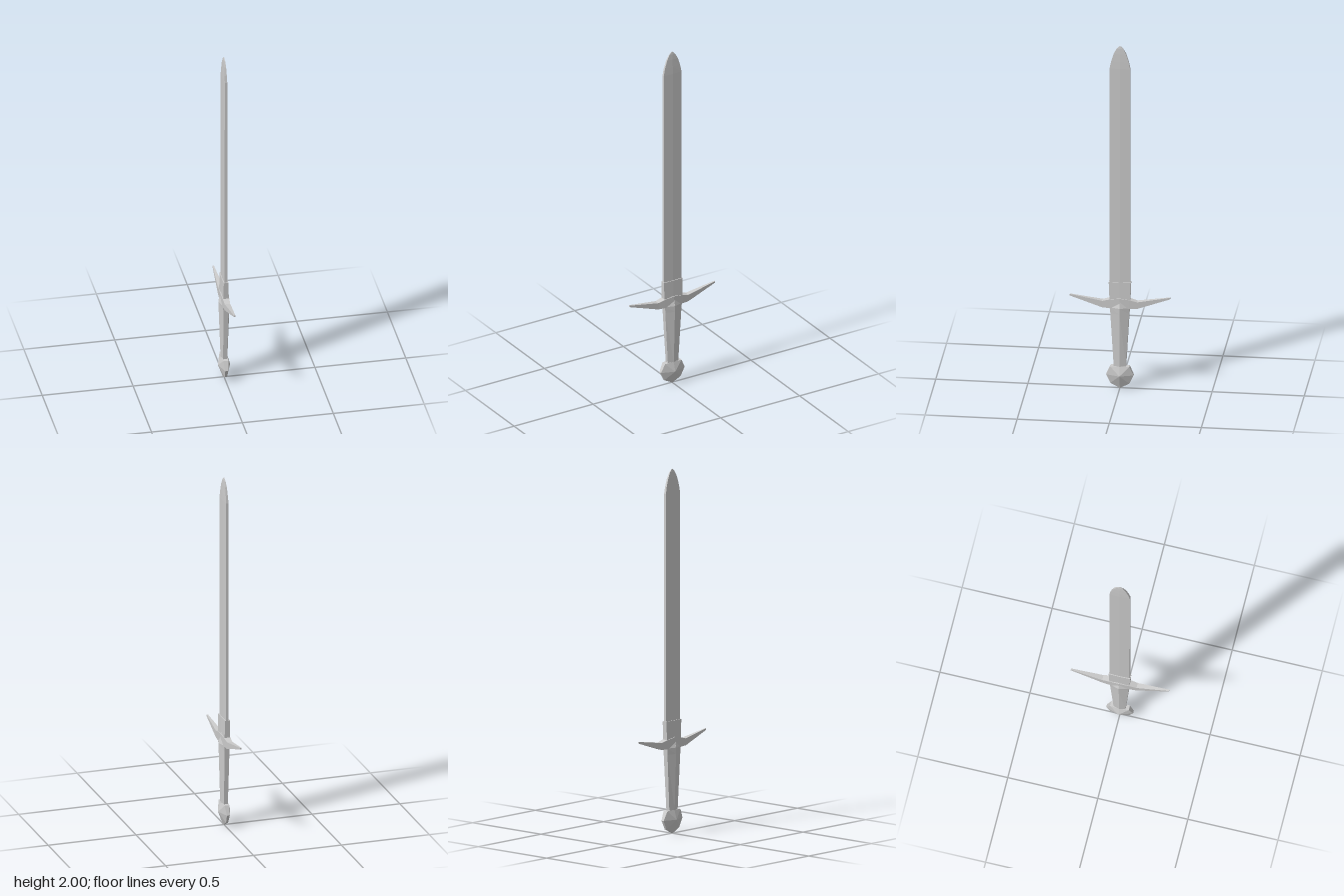
import * as THREE from 'three';

const steel = new THREE.MeshStandardMaterial({ color: 0xcccccc, flatShading: true });

// Closed, faceted skin over a list of equal-sized rings of [x, y, z] points
function loft(name, rings) {
  const tris = [];
  const n = rings[0].length;
  for (let r = 0; r < rings.length - 1; r++) {
    for (let i = 0; i < n; i++) {
      const j = (i + 1) % n;
      const a = rings[r][i], b = rings[r][j], c = rings[r + 1][j], d = rings[r + 1][i];
      tris.push([a, b, c], [a, c, d]);
    }
  }
  const last = rings[rings.length - 1];
  for (let i = 1; i < n - 1; i++) {
    tris.push([rings[0][0], rings[0][i + 1], rings[0][i]], [last[0], last[i], last[i + 1]]);
  }
  // Turn the faces outwards whichever way the rings run
  const v = (p) => new THREE.Vector3(...p);
  let volume = 0;
  for (const [a, b, c] of tris) volume += v(a).dot(v(b).cross(v(c)));
  const points = tris.flatMap((t) => (volume < 0 ? [t[0], t[2], t[1]] : t));
  const geometry = new THREE.BufferGeometry();
  geometry.setAttribute('position', new THREE.Float32BufferAttribute(points.flat(), 3));
  geometry.computeVertexNormals();
  const mesh = new THREE.Mesh(geometry, steel);
  mesh.name = name;
  return mesh;
}

// Six-sided section: central ridge on each broad face, flat narrow edges
const ridged = ([y, ridge, edge, hz]) => [
  [ridge, y, 0], [edge, y, hz], [-edge, y, hz],
  [-ridge, y, 0], [-edge, y, -hz], [edge, y, -hz],
];

export function createModel() {
  const sword = new THREE.Group();
  sword.name = 'sword';

  // Long flat blade with a rounded point: [height, ridge, edge, half width]
  sword.add(loft('blade', [
    [0.5, 0.01, 0.008, 0.056],
    [1.87, 0.009, 0.007, 0.056],
    [1.91, 0.008, 0.006, 0.048],
    [1.955, 0.006, 0.005, 0.034],
    [1.985, 0.004, 0.003, 0.018],
    [2.0, 0.001, 0.001, 0.003],
  ].map(ridged)));

  // Collar clasping the root of the blade
  sword.add(loft('collar', [
    [0.47, 0.017, 0.016, 0.055],
    [0.53, 0.016, 0.015, 0.056],
    [0.622, 0.014, 0.013, 0.06],
  ].map(ridged)));

  // Tapering grip, its top peaking over the middle of the guard
  sword.add(loft('grip', [
    [0.11, 0.018, 0.011, 0.032],
    [0.13, 0.019, 0.011, 0.033],
    [0.44, 0.03, 0.014, 0.051],
    [0.475, 0.031, 0.016, 0.053],
    [0.54, 0.015, 0.008, 0.004],
  ].map(ridged)));

  // Upswept guard arms: [z, bottom, top, half thickness, sideways shift]
  for (const side of [1, -1]) {
    sword.add(loft(side > 0 ? 'frontGuardArm' : 'backGuardArm', [
      [0, 0.472, 0.53, 0.022, 0],
      [0.055, 0.472, 0.522, 0.018, 0],
      [0.095, 0.473, 0.511, 0.015, 0],
      [0.272, 0.531, 0.54, 0.004, 0.004],
    ].map(([z, low, high, hx, shift]) => [
      [side * shift + hx, low, side * z], [side * shift + hx, high, side * z],
      [side * shift - hx, high, side * z], [side * shift - hx, low, side * z],
    ])));
  }

  // Faceted disc pommel: rim points are [z, y, half thickness]
  const rim = [
    [0, 0.133, 0.018], [0.052, 0.13, 0.014], [0.075, 0.08, 0.008], [0.052, 0.03, 0.006],
    [0, 0.002, 0.005], [-0.052, 0.03, 0.006], [-0.075, 0.08, 0.008], [-0.052, 0.13, 0.014],
  ];
  const apex = (x) => rim.map(() => [x, 0.08, 0]);
  sword.add(loft('pommel', [
    apex(-0.034),
    rim.map(([z, y, hx]) => [-hx, y, z]),
    rim.map(([z, y, hx]) => [hx, y, z]),
    apex(0.034),
  ]));

  // Rest the pommel on the ground
  const low = new THREE.Box3().setFromObject(sword).min.y;
  sword.position.y = -low;
  return sword;
}
